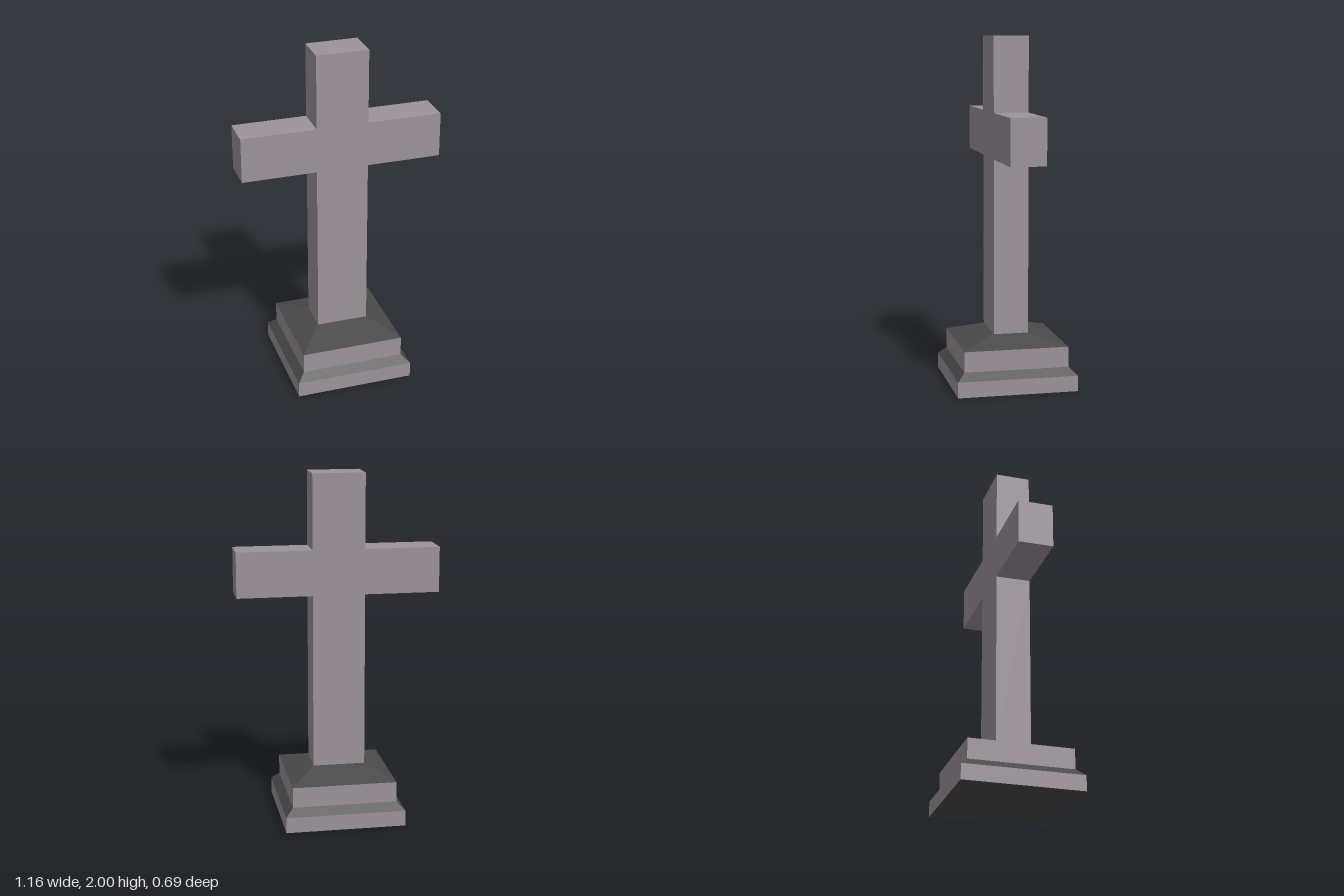
import * as THREE from 'three';

const stone = new THREE.MeshStandardMaterial({ color: 0x9b9399 });
stone.name = 'paleStone';
const slate = new THREE.MeshStandardMaterial({ color: 0x4a4a4a });
slate.name = 'darkSlate';

// Four flat walls between two rectangular rings, each ring given as [halfX, y, halfZ]
function walls(name, lower, upper, material) {
  const corners = ([x, y, z]) => [[-x, y, z], [x, y, z], [x, y, -z], [-x, y, -z]];
  const a = corners(lower), b = corners(upper), points = [];
  for (let i = 0; i < 4; i++) {
    const j = (i + 1) % 4;
    points.push(...a[i], ...a[j], ...b[j], ...a[i], ...b[j], ...b[i]);
  }
  const geometry = new THREE.BufferGeometry();
  geometry.setAttribute('position', new THREE.Float32BufferAttribute(points, 3));
  geometry.computeVertexNormals();
  const mesh = new THREE.Mesh(geometry, material);
  mesh.name = name;
  return mesh;
}

export function createModel() {
  const model = new THREE.Group();
  model.name = 'stoneCross';

  // Stepped plinth, from the ground up
  const rings = [
    [0.345, 0, 0.345],
    [0.345, 0.09, 0.345],
    [0.3, 0.133, 0.3],
    [0.3, 0.25, 0.3],
    [0.15, 0.308, 0.1],
  ];
  const tiers = ['lowerStep', 'lowerSlope', 'upperStep', 'upperSlope'];
  const plinth = new THREE.Group();
  plinth.name = 'plinth';
  tiers.forEach((name, i) => {
    plinth.add(walls(name, rings[i], rings[i + 1], i % 2 ? slate : stone));
  });

  // Underside of the plinth
  const underside = new THREE.Mesh(new THREE.PlaneGeometry(0.69, 0.69), slate);
  underside.name = 'underside';
  underside.rotation.x = Math.PI / 2;
  plinth.add(underside);
  model.add(plinth);

  // Upright and arms as one outline, mirrored across x
  const half = [[0.15, 0.308], [0.15, 1.312], [0.58, 1.312], [0.58, 1.572], [0.15, 1.572], [0.15, 2]];
  const outline = [...half, ...half.map(([x, y]) => [-x, y]).reverse()];
  const shape = new THREE.Shape(outline.map(([x, y]) => new THREE.Vector2(x, y)));
  const geometry = new THREE.ExtrudeGeometry(shape, { depth: 0.2, bevelEnabled: false });
  geometry.translate(0, 0, -0.1);
  const cross = new THREE.Mesh(geometry, stone);
  cross.name = 'cross';
  model.add(cross);

  return model;
}
